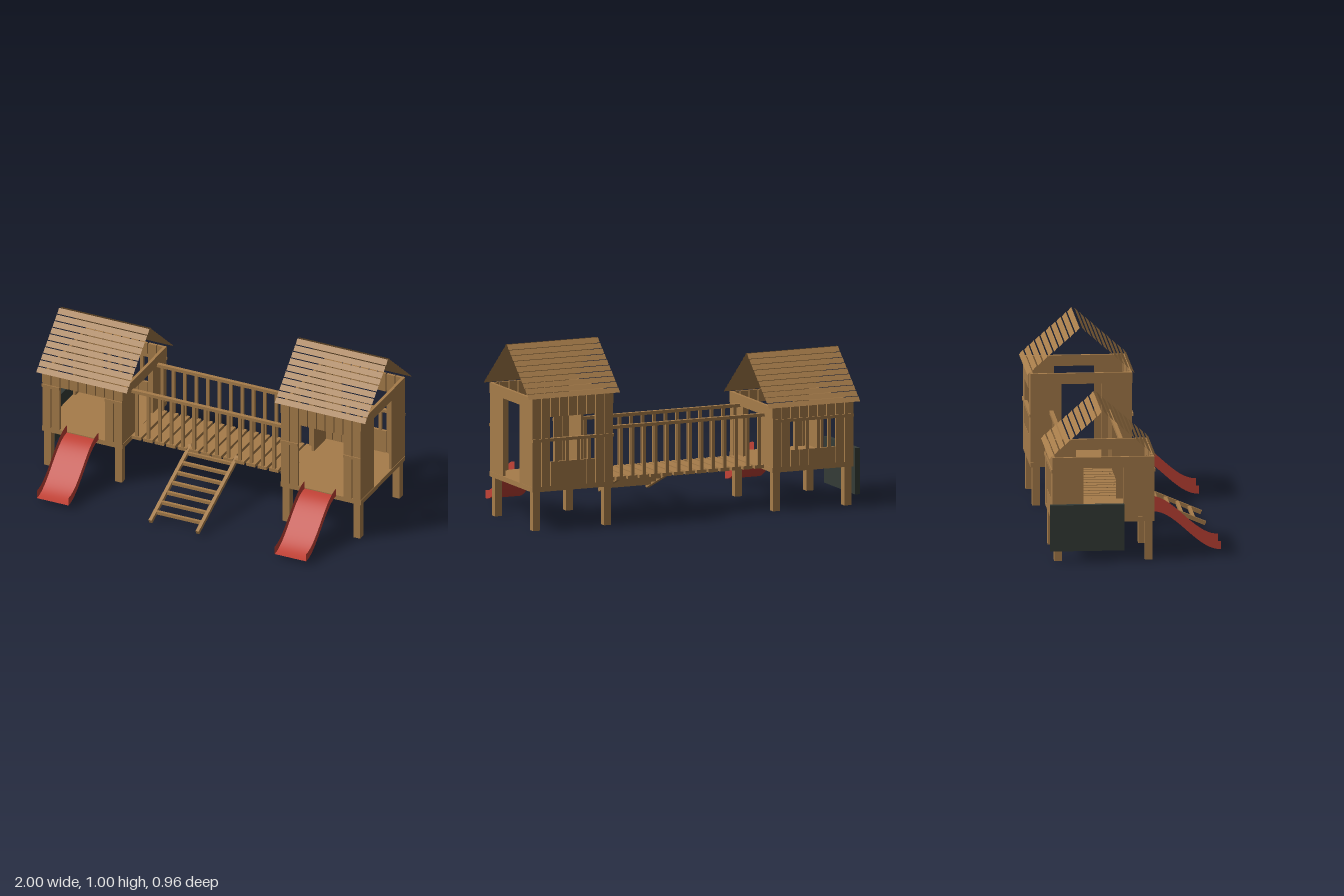
import * as THREE from 'three';

const wood = new THREE.MeshStandardMaterial({ color: 0xa67c4a });
wood.name = 'wood';
const roofWood = new THREE.MeshStandardMaterial({ color: 0xa67c4a, side: THREE.DoubleSide });
roofWood.name = 'roofWood';
const slideRed = new THREE.MeshStandardMaterial({ color: 0xc24236, side: THREE.DoubleSide });
slideRed.name = 'slideRed';
const boardDark = new THREE.MeshStandardMaterial({ color: 0x343b36 });
boardDark.name = 'boardDark';

const MID_Z = -0.18;
const DECK = 0.245;

// Box given by its limits on each axis
function box(parent, name, [x0, x1], [y0, y1], [z0, z1], material = wood) {
  const mesh = new THREE.Mesh(new THREE.BoxGeometry(x1 - x0, y1 - y0, z1 - z0), material);
  mesh.position.set((x0 + x1) / 2, (y0 + y1) / 2, (z0 + z1) / 2);
  mesh.name = name;
  parent.add(mesh);
  return mesh;
}

// Open strip between two point lists of equal length
function strip(name, a, b, material) {
  const pos = [], index = [];
  a.forEach((p, i) => {
    pos.push(...p, ...b[i]);
    if (i) index.push(2 * i - 2, 2 * i - 1, 2 * i, 2 * i - 1, 2 * i + 1, 2 * i);
  });
  const geo = new THREE.BufferGeometry();
  geo.setAttribute('position', new THREE.Float32BufferAttribute(pos, 3));
  geo.setIndex(index);
  geo.computeVertexNormals();
  const mesh = new THREE.Mesh(geo, material);
  mesh.name = name;
  return mesh;
}

// Pitched roof of separate thin slats
function createRoof(eaveY) {
  const roof = new THREE.Group();
  roof.name = 'roof';
  const rows = 10, rise = 0.26, run = 0.295;
  for (const side of [1, -1]) {
    for (let i = 0; i < rows; i++) {
      const y0 = eaveY + (rise * i) / rows;
      const z0 = run * (1 - i / rows);
      const y1 = y0 + (i === rows - 1 ? 0.026 : 0.0245);
      const z1 = z0 - 0.022;
      const edge = (x) => [[x, y0, MID_Z - 0.005 + side * z0], [x, y1, MID_Z - 0.005 + side * z1]];
      roof.add(strip('roofSlat', edge(-0.275 * side), edge(0.275 * side), roofWood));
    }
  }
  return roof;
}

// Front or back wall of boards; the front one leaves a doorway for the slide
function createPlankWall(name, [z0, z1], outward, top, headerY, sillY, isFront) {
  const wall = new THREE.Group();
  wall.name = name;
  const railZ = outward > 0 ? [z1, z1 + 0.006] : [z0 - 0.006, z0];
  for (const s of [-1, 1]) {
    for (const [a, b] of [[0.138, 0.188], [0.192, 0.243]]) {
      box(wall, 'tallBoard', s > 0 ? [a, b] : [-b, -a], [0.24, top], [z0, z1]);
    }
    if (isFront) box(wall, 'sideRail', s > 0 ? [0.138, 0.245] : [-0.245, -0.138], [0.495, 0.512], railZ);
  }
  for (let i = -2; i <= 2; i++) {
    const x = [i * 0.054 - 0.024, i * 0.054 + 0.024];
    box(wall, 'headerBoard', x, [headerY, top], [z0, z1]);
    if (!isFront) box(wall, 'lowBoard', [x[0] - 0.002, x[1] + 0.002], [0.24, sillY], [z0, z1]);
  }
  if (!isFront) {
    box(wall, 'rail', [-0.245, 0.245], [0.495, 0.512], railZ);
    box(wall, 'innerRail', [-0.138, 0.138], [0.495, 0.512], [z0, z1]);
    for (let i = -1.5; i <= 1.5; i++) {
      box(wall, 'baluster', [i * 0.066 - 0.009, i * 0.066 + 0.009], [sillY, 0.5], [z0, z1]);
    }
  }
  return wall;
}

// Slide with an S-shaped bed and thin sides
function createSlide() {
  const slide = new THREE.Group();
  slide.name = 'slide';
  const n = 20, half = 0.096;
  const line = (x, lift) => Array.from({ length: n + 1 }, (_, i) => {
    const t = i / n;
    return [x, 0.02 + 0.11 * (1 + Math.cos(Math.PI * t)) + lift, 0.1 + 0.38 * t];
  });
  slide.add(strip('slideBed', line(-half, 0), line(half, 0), slideRed));
  for (const s of [-1, 1]) {
    slide.add(strip('slideSide', line(s * half, 0), line(s * half, 0.046), slideRed));
  }
  return slide;
}

function createTower(name, centreX, top, headerY, sillY) {
  const tower = new THREE.Group();
  tower.name = name;
  box(tower, 'deck', [-0.245, 0.245], [0.217, DECK], [-0.46, 0.1]);
  for (const s of [-1, 1]) {
    for (const z of [0.07, -0.428]) {
      box(tower, 'leg', [s * 0.215 - 0.021, s * 0.215 + 0.021], [0, 0.22], [z - 0.021, z + 0.021]);
    }
    // End wall with a doorway
    const x = s > 0 ? [0.228, 0.243] : [-0.243, -0.228];
    box(tower, 'endPanel', x, [0.24, top - 0.06], [-0.07, 0.085]);
    box(tower, 'endPanel', x, [0.24, top - 0.06], [-0.445, -0.29]);
    box(tower, 'doorHeader', s > 0 ? [0.228, 0.245] : [-0.245, -0.228], [top - 0.06, top], [-0.46, 0.1]);
  }
  tower.add(createPlankWall('frontWall', [0.085, 0.1], 1, top, headerY, sillY, true));
  tower.add(createPlankWall('backWall', [-0.46, -0.445], -1, top, headerY, sillY, false));
  tower.add(createRoof(top));
  const slide = createSlide();
  slide.position.x = Math.sign(centreX) * -0.002;
  tower.add(slide);
  tower.position.x = centreX;
  return tower;
}

// Slatted walkway with railings
function createBridge() {
  const bridge = new THREE.Group();
  bridge.name = 'bridge';
  const n = 14, pitch = 0.0695;
  for (let i = 0; i < n; i++) {
    const x = (i - (n - 1) / 2) * pitch;
    box(bridge, 'bridgePlank', [x - 0.028, x + 0.028], [0.226, DECK], [-0.35, -0.015]);
    for (const z of [-0.345, -0.025]) {
      box(bridge, 'railingBar', [x - 0.009, x + 0.009], [DECK, 0.517], [z - 0.007, z + 0.007]);
    }
  }
  for (const z of [-0.345, -0.025]) {
    box(bridge, 'handrail', [-0.482, 0.482], [0.514, 0.532], [z - 0.011, z + 0.011]);
  }
  return bridge;
}

// Sloping ladder up to the bridge
function createLadder() {
  const ladder = new THREE.Group();
  ladder.name = 'ladder';
  const slope = 0.43, length = 0.555;
  const yAt = (z) => 0.022 + (0.45 - z) * slope;
  for (const s of [-1, 1]) {
    const rail = new THREE.Mesh(new THREE.BoxGeometry(0.02, 0.022, length), wood);
    rail.name = 'ladderRail';
    rail.position.set(s * 0.143, yAt(0.195), 0.195);
    rail.rotation.x = Math.atan(slope);
    ladder.add(rail);
  }
  for (let i = 0; i < 7; i++) {
    const z = 0.385 - i * 0.066;
    box(ladder, 'rung', [-0.134, 0.134], [yAt(z) - 0.009, yAt(z) + 0.009], [z - 0.009, z + 0.009]);
  }
  return ladder;
}

export function createModel() {
  const model = new THREE.Group();
  model.name = 'playground';
  model.add(createTower('tallTower', 0.725, 0.74, 0.63, 0.38));
  model.add(createTower('lowTower', -0.725, 0.58, 0.512, 0.335));
  model.add(createBridge(), createLadder());
  // Drawing board on the end of the low tower
  box(model, 'drawingBoard', [-1, -0.971], [0.062, 0.32], [-0.475, -0.067], boardDark);
  return model;
}
